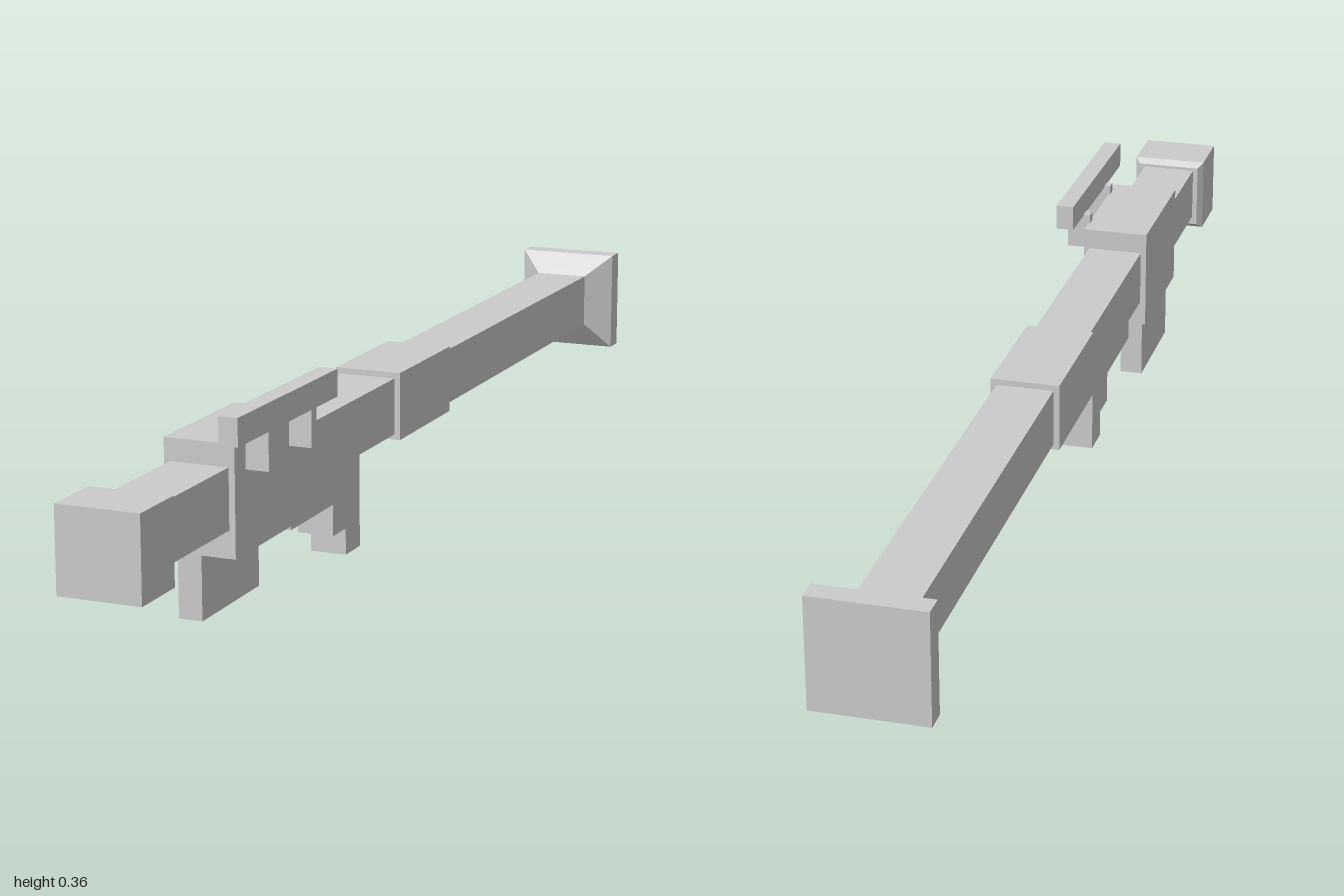
import * as THREE from 'three';

const material = new THREE.MeshStandardMaterial({ color: 0xcccccc, flatShading: true });

export function createModel() {
  const group = new THREE.Group();

  const add = (name, geometry) => {
    const mesh = new THREE.Mesh(geometry, material);
    mesh.name = name;
    group.add(mesh);
    return mesh;
  };

  // Box given by its limits on each axis
  const block = (name, [x0, x1], [y0, y1], [z0, z1]) => {
    const mesh = add(name, new THREE.BoxGeometry(x1 - x0, y1 - y0, z1 - z0));
    mesh.position.set((x0 + x1) / 2, (y0 + y1) / 2, (z0 + z1) / 2);
    return mesh;
  };

  // Box along z whose front and back rectangles [x0, x1, y0, y1] differ
  const taper = (name, back, front, z0, z1) => {
    const geometry = new THREE.BoxGeometry(1, 1, 1);
    const p = geometry.attributes.position;
    for (let i = 0; i < p.count; i++) {
      const isFront = p.getZ(i) > 0;
      const r = isFront ? front : back;
      p.setXYZ(i, r[p.getX(i) > 0 ? 1 : 0], r[p.getY(i) > 0 ? 3 : 2], isFront ? z1 : z0);
    }
    geometry.computeVertexNormals();
    return add(name, geometry);
  };

  const tube = [-0.053, 0.043, 0.166, 0.262];
  const flare = [-0.096, 0.088, 0.117, 0.3];
  const muzzle = [-0.071, 0.063, 0.142, 0.276];

  // Barrel with its square sleeve
  block('barrel', [-0.053, 0.043], [0.166, 0.262], [-0.95, 0.95]);
  block('barrelSleeve', [-0.063, 0.053], [0.157, 0.272], [-0.178, 0.048]);

  // Muzzle with a short bevel behind it
  taper('muzzle', muzzle, muzzle, 0.9, 1);
  taper('muzzleBevel', [-0.062, 0.054, 0.151, 0.267], muzzle, 0.888, 0.9);

  // Flared rear end
  taper('rearFlare', flare, tube, -0.963, -0.928);
  taper('rearPlate', flare, flare, -1, -0.963);

  // Receiver and the front grip below it
  block('receiver', [-0.063, 0.053], [0.122, 0.298], [0.442, 0.682]);
  block('frontGrip', [-0.052, -0.0125], [0.013, 0.13], [0.465, 0.664]);

  // Stepped rear grip, drawn from the side and extruded across x
  const outline = [[0.43, 0.17], [0.43, 0.098], [0.267, 0.098], [0.267, 0.045],
    [0.216, 0.045], [0.216, 0], [0.158, 0], [0.158, 0.17]];
  const shape = new THREE.Shape(outline.map(([z, y]) => new THREE.Vector2(-z, y)));
  const grip = add('rearGrip', new THREE.ExtrudeGeometry(shape, { depth: 0.062, bevelEnabled: false }));
  grip.rotation.y = Math.PI / 2;
  grip.position.x = -0.035;

  // Side sight, turned very slightly, on two thin brackets
  const sight = block('sightRail', [0.061, 0.092], [0.312, 0.356], [0.398, 0.748]);
  sight.rotation.y = -0.008;
  for (const z of [0.482, 0.636]) {
    block('sightBracket', [0.05, 0.091], [0.251, 0.314], [z - 0.009, z + 0.009]);
  }

  return group;
}
